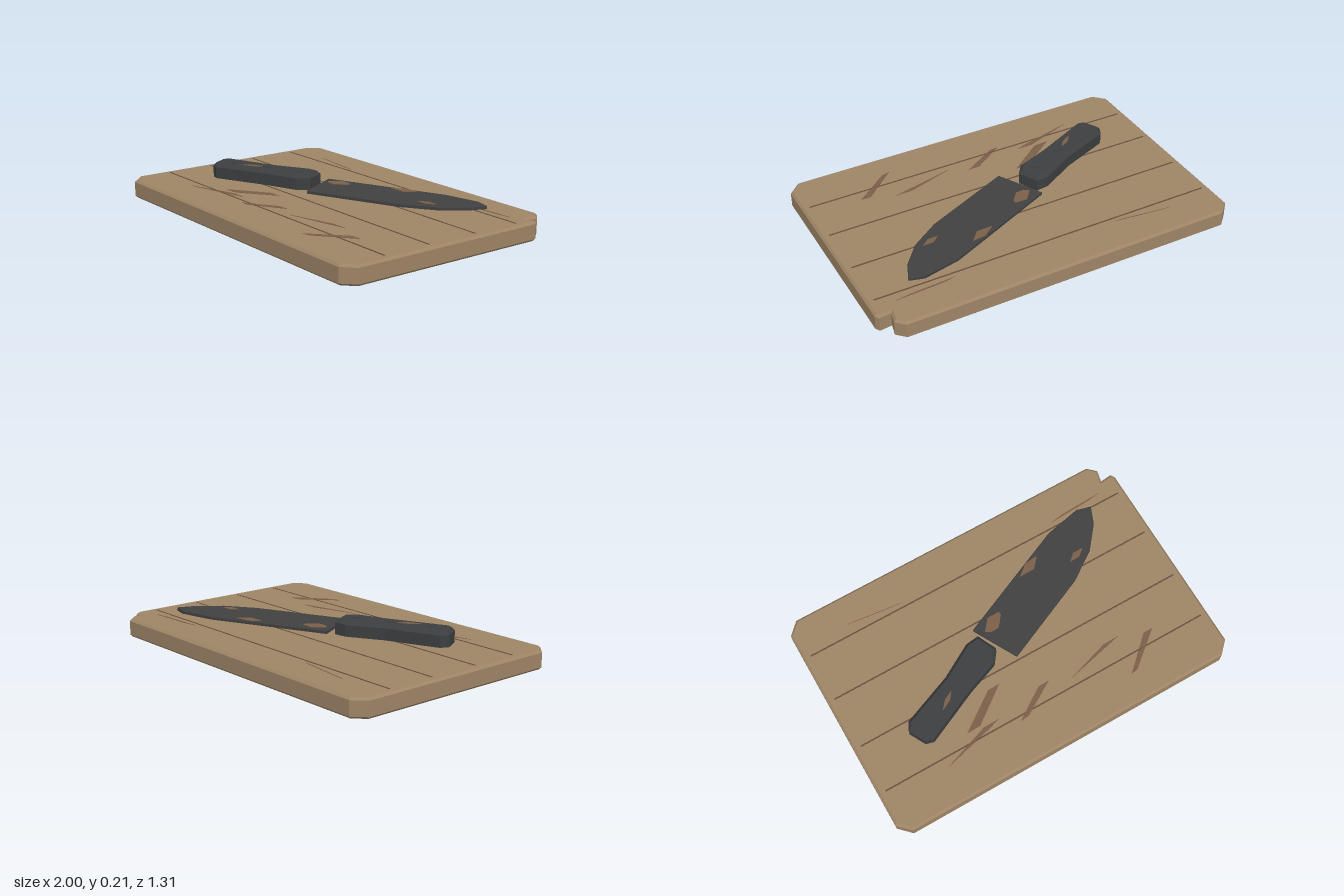
import * as THREE from 'three';

const mat = (name, color) => {
  const m = new THREE.MeshStandardMaterial({ color, flatShading: true });
  m.name = name;
  return m;
};

// Moves an outline of [x, z] points inwards by d, keeping its edges parallel
function inset(pts, d) {
  const n = pts.length;
  const normal = (i) => {
    const a = pts[(i + n) % n], b = pts[(i + 1) % n];
    const l = Math.hypot(b[0] - a[0], b[1] - a[1]);
    return [(b[1] - a[1]) / l, (a[0] - b[0]) / l];
  };
  return pts.map(([x, z], i) => {
    const p = normal(i - 1), q = normal(i);
    const k = d / (1 + p[0] * q[0] + p[1] * q[1]);
    return [x - (p[0] + q[0]) * k, z - (p[1] + q[1]) * k];
  });
}

// Flat-sided slab through levels of [y, inset], bottom to top, closed at both ends
function slab(pts, levels) {
  const out = [];
  const n = pts.length;
  const rings = levels.map(([y, d]) =>
    inset(pts, d).map(([x, z]) => new THREE.Vector3(x, y, z)));
  const tri = (a, b, c) => [a, b, c].forEach((v) => out.push(v.x, v.y, v.z));
  for (let k = 0; k + 1 < rings.length; k++) {
    for (let i = 0; i < n; i++) {
      const j = (i + 1) % n, lo = rings[k], hi = rings[k + 1];
      tri(lo[j], lo[i], hi[i]);
      tri(lo[j], hi[i], hi[j]);
    }
  }
  const cap = (ring, up) => {
    const flat = ring.map((v) => new THREE.Vector2(v.x, v.z));
    for (const [i, j, k] of THREE.ShapeUtils.triangulateShape(flat, [])) {
      const a = ring[i], b = ring[j], c = ring[k];
      const facesUp = (b.z - a.z) * (c.x - a.x) - (b.x - a.x) * (c.z - a.z) > 0;
      if (facesUp === up) tri(a, b, c);
      else tri(a, c, b);
    }
  };
  cap(rings[0], false);
  cap(rings[rings.length - 1], true);
  const g = new THREE.BufferGeometry();
  g.setAttribute('position', new THREE.Float32BufferAttribute(out, 3));
  g.computeVertexNormals();
  return g;
}

export function createModel() {
  const group = new THREE.Group();
  const wood = mat('wood', 0x9e8466);
  const seam = mat('seam', 0x66513f);
  const worn = mat('worn brown', 0x7b5f49);
  const steel = mat('dark steel', 0x404042);
  const grip = mat('dark grip', 0x3c3e40);

  const add = (name, geometry, material) => {
    const m = new THREE.Mesh(geometry, material);
    m.name = name;
    group.add(m);
    return m;
  };

  // Board with clipped corners and a chipped back corner
  const board = [
    [-0.935, -0.655], [0.89, -0.655], [0.935, -0.61], [0.92, -0.545],
    [0.985, -0.552], [1, -0.53], [1, 0.59], [0.935, 0.655],
    [-0.935, 0.655], [-1, 0.59], [-1, -0.59],
  ];
  add('board', slab(board, [[0, 0.012], [0.012, 0], [0.09, 0], [0.102, 0.012]]), wood);

  // Plank seams
  for (const z of [-0.432, -0.156, 0.138, 0.41]) {
    add('seam', new THREE.BoxGeometry(1.92, 0.004, 0.008), seam).position.set(0, 0.102, z);
  }

  // Knife cuts in the board
  const cuts = [
    [[-0.71, -0.493], [-0.66, -0.49], [-0.39, -0.458], [-0.44, -0.461]],
    [[0.54, -0.462], [0.62, -0.475], [0.87, -0.486], [0.79, -0.475]],
    [[-0.45, 0.355], [-0.24, 0.205], [-0.17, 0.203], [-0.37, 0.352]],
    [[-0.63, 0.465], [-0.36, 0.37], [-0.27, 0.368], [-0.33, 0.388]],
    [[-0.175, 0.437], [0, 0.32], [0.065, 0.318], [-0.125, 0.432]],
    [[0.165, 0.37], [0.42, 0.291], [0.515, 0.289], [0.45, 0.304]],
    [[0.46, 0.508], [0.64, 0.342], [0.695, 0.342], [0.505, 0.497]],
  ];
  for (const c of cuts) add('cutMark', slab(c, [[0.1, 0], [0.104, 0]]), worn);

  // Blade
  const blade = [
    [-0.15, -0.112], [0.485, -0.395], [0.69, -0.44], [0.77, -0.418],
    [0.73, -0.32], [0.63, -0.198], [0.47, -0.088], [-0.02, 0.13],
  ];
  add('blade', slab(blade, [[0.135, 0], [0.15, 0], [0.153, 0.004]]), steel);

  // Handle with a chamfered top
  const handle = [
    [-0.712, 0.215], [-0.69, 0.17], [-0.41, 0.058], [-0.225, -0.048],
    [-0.15, -0.057], [-0.1, 0.05], [-0.145, 0.11], [-0.325, 0.178],
    [-0.62, 0.315], [-0.665, 0.303],
  ];
  add('handle', slab(handle, [[0.125, 0], [0.188, 0], [0.206, 0.016]]), grip);

  // Rivets
  for (const [x, z] of [[-0.58, 0.218], [-0.38, 0.127], [-0.2, 0.045]]) {
    add('rivet', new THREE.CylinderGeometry(0.018, 0.018, 0.006, 8), grip).position.set(x, 0.207, z);
  }

  // Rust patches on the blade, and one worn spot on the handle
  const patches = [
    [0.152, [[-0.1, -0.07], [-0.05, -0.132], [0.02, -0.132], [0.022, -0.112], [-0.025, -0.055], [-0.07, -0.052]]],
    [0.152, [[0.22, -0.25], [0.285, -0.303], [0.362, -0.312], [0.31, -0.252]]],
    [0.152, [[0.5, -0.19], [0.54, -0.227], [0.6, -0.227], [0.558, -0.192]]],
    [0.205, [[-0.512, 0.215], [-0.47, 0.165], [-0.418, 0.14], [-0.45, 0.182]]],
  ];
  for (const [y, p] of patches) add('rustPatch', slab(p, [[y, 0], [y + 0.004, 0]]), worn);

  return group;
}
